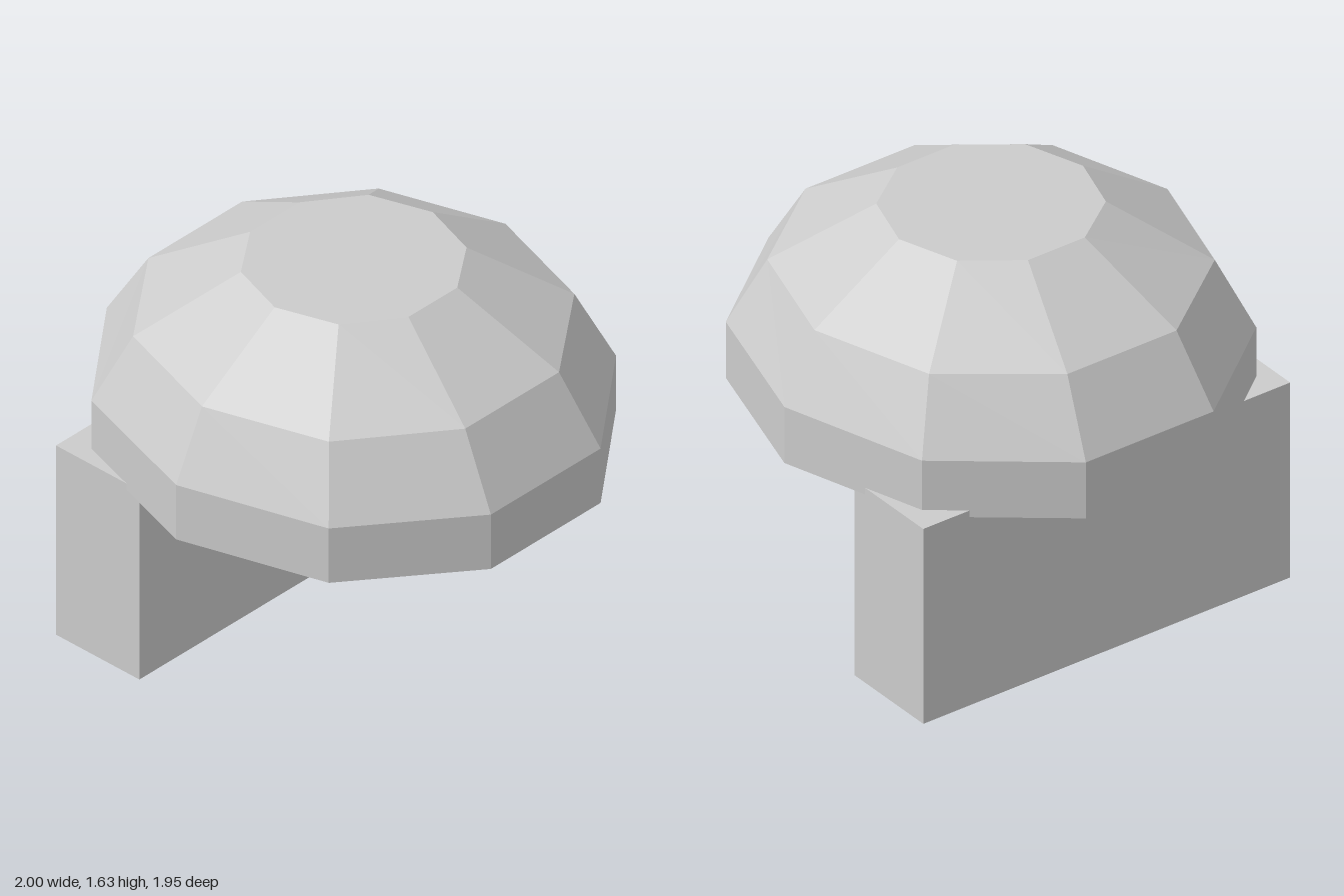
import * as THREE from 'three';

export function createModel() {
  const group = new THREE.Group();
  const grey = new THREE.MeshStandardMaterial({ color: 0xcccccc });
  grey.name = 'plain grey';
  grey.flatShading = true;

  // Domed ten-sided cap: each ring is [x radius, z radius, height]
  const rings = [
    [0, 0, 0.84],
    [1.051, 0.977, 0.84],
    [1.051, 0.977, 1.09],
    [0.867, 0.835, 1.38],
    [0.433, 0.435, 1.635],
    [0, 0, 1.635],
  ];
  const capGeometry = new THREE.LatheGeometry(
    rings.map(([, rz, y]) => new THREE.Vector2(rz, y)), 10);
  // Stretch each ring sideways into its slightly oval outline
  const pos = capGeometry.attributes.position;
  for (let i = 0; i < pos.count; i++) {
    const [rx, rz] = rings[i % rings.length];
    if (rz > 0) pos.setX(i, pos.getX(i) * rx / rz);
  }
  capGeometry.computeVertexNormals();
  const cap = new THREE.Mesh(capGeometry, grey);
  cap.name = 'cap';
  group.add(cap);

  // Off-centre slab carrying the cap
  const stem = new THREE.Mesh(new THREE.BoxGeometry(0.434, 0.87, 1.735), grey);
  stem.name = 'stem';
  stem.position.set(-0.512, 0.435, 0);
  group.add(stem);

  return group;
}
